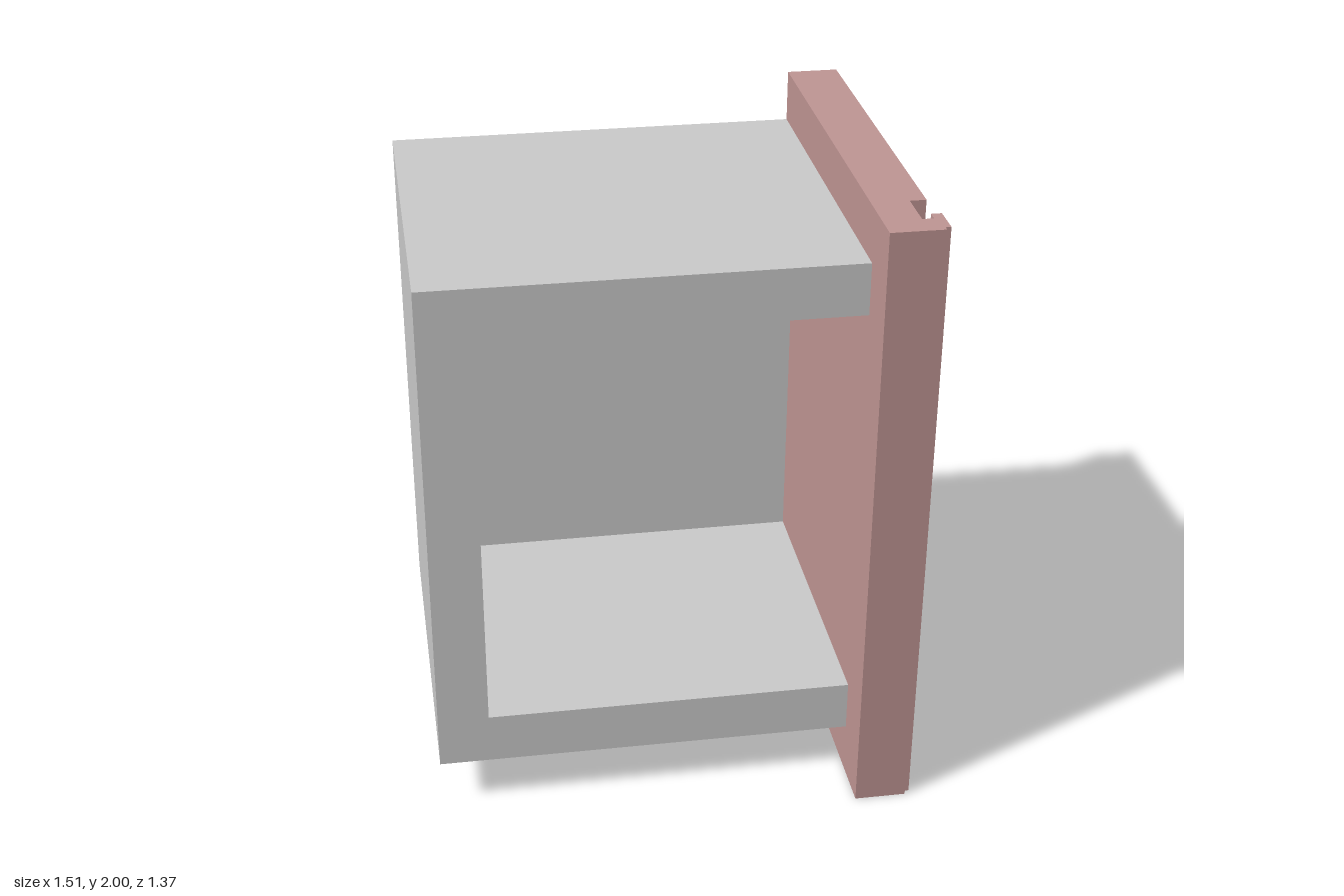
import * as THREE from 'three';

const greyMaterial = new THREE.MeshStandardMaterial({ color: 0xcccccc });
const panelMaterial = new THREE.MeshStandardMaterial({ color: 0xc09694 });

// Extrude a closed outline of [x, y] points into a straight-edged solid
function extrude(points, depth) {
  const shape = new THREE.Shape(points.map(([x, y]) => new THREE.Vector2(x, y)));
  return new THREE.ExtrudeGeometry(shape, { depth, bevelEnabled: false });
}

function addPart(group, name, geometry, material) {
  const mesh = new THREE.Mesh(geometry, material);
  mesh.name = name;
  group.add(mesh);
  return mesh;
}

export function createModel() {
  const model = new THREE.Group();
  model.name = 'cabinetWithSidePanel';

  const left = -0.757, seam = 0.575, bottom = 0.167, top = 1.833;
  const back = -0.683, front = 0.515, wall = 0.167;

  // Floor, outer wall and roof as one C-shaped frame; the panel closes it
  const frame = extrude([
    [left, bottom], [seam, bottom], [seam, bottom + wall],
    [left + wall - 0.005, bottom + wall], [left + wall - 0.005, top - wall],
    [seam, top - wall], [seam, top], [left, top],
  ], front - back - wall);
  addPart(model, 'boxFrame', frame, greyMaterial).position.z = back + wall;

  // Closed back of the box
  const backWall = new THREE.BoxGeometry(seam - left, top - bottom, wall);
  addPart(model, 'backWall', backWall, greyMaterial)
    .position.set((left + seam) / 2, (top + bottom) / 2, back + wall / 2);

  // Tall side panel with a hooked groove near its front edge, [x, z] plan
  const plan = [
    [seam, -0.683], [0.74, -0.683], [0.74, 0.465], [0.69, 0.465],
    [0.69, 0.6], [0.725, 0.6], [0.725, 0.567], [0.757, 0.567],
    [0.757, 0.667], [0.74, 0.667], [0.74, 0.683], [seam, 0.683],
  ];
  const panel = extrude(plan.map(([x, z]) => [x, -z]), 2);
  panel.rotateX(-Math.PI / 2);
  addPart(model, 'groovedSidePanel', panel, panelMaterial);

  return model;
}
